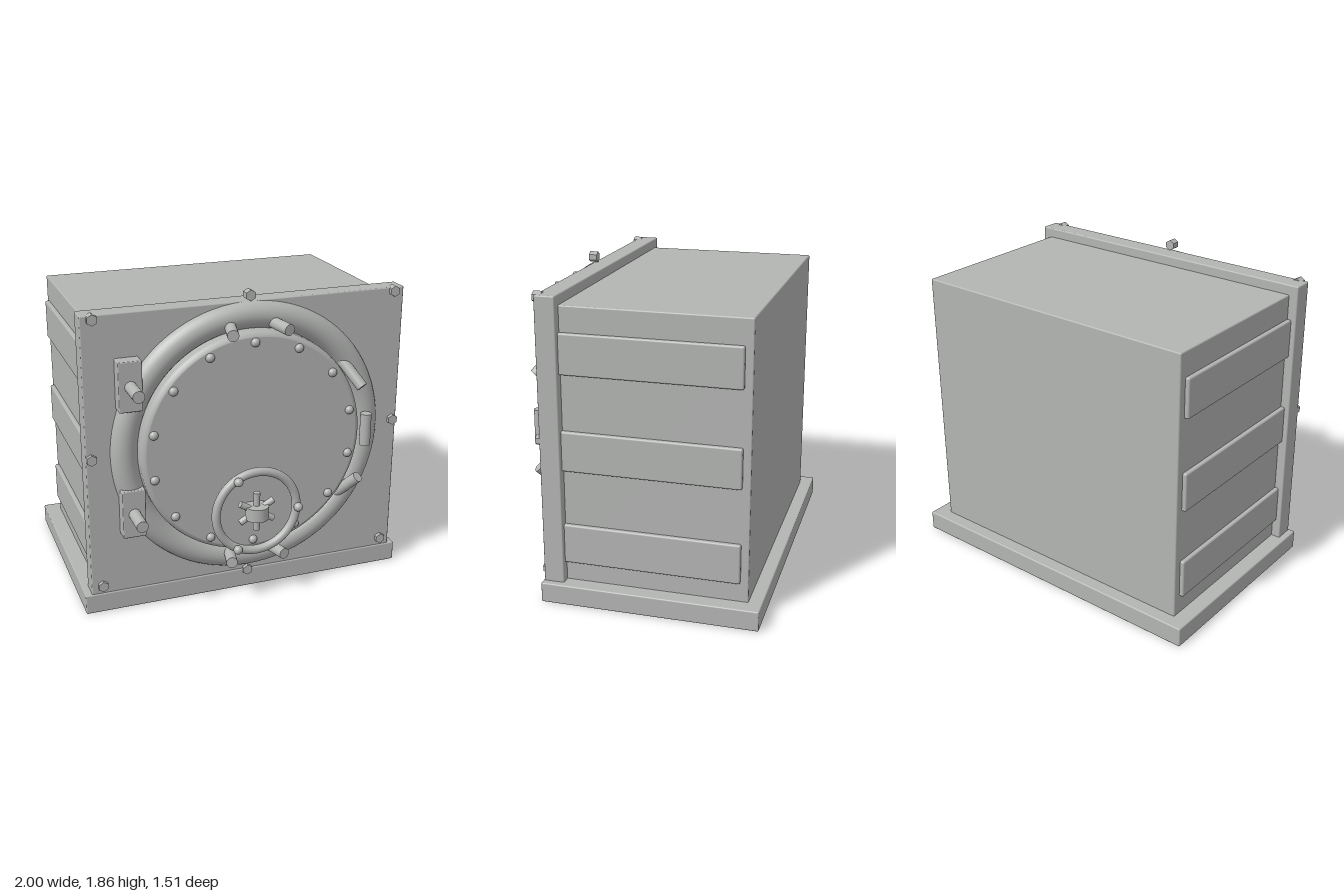
import * as THREE from 'three';
import { RoundedBoxGeometry } from 'three/addons/geometries/RoundedBoxGeometry.js';

const metal = new THREE.MeshStandardMaterial({ color: 0xb3b5b3 });
metal.name = 'grey metal';

export function createModel() {
  const group = new THREE.Group();
  const add = (name, geometry, x = 0, y = 0, z = 0) => {
    const mesh = new THREE.Mesh(geometry, metal);
    mesh.name = name;
    mesh.position.set(x, y, z);
    group.add(mesh);
    return mesh;
  };
  // Softly edged box given by its lower and upper corners
  const box = (name, [x0, y0, z0], [x1, y1, z1], r = 0.008) =>
    add(name, new RoundedBoxGeometry(x1 - x0, y1 - y0, z1 - z0, 2, r),
      (x0 + x1) / 2, (y0 + y1) / 2, (z0 + z1) / 2);
  // Round bar between two points
  const bar = (name, a, b, r) => {
    const p = new THREE.Vector3(...a), q = new THREE.Vector3(...b);
    const d = q.clone().sub(p);
    const mesh = add(name, new THREE.CylinderGeometry(r, r, d.length(), 24));
    mesh.position.copy(p).add(q).multiplyScalar(0.5);
    mesh.quaternion.setFromUnitVectors(new THREE.Vector3(0, 1, 0), d.normalize());
    return mesh;
  };

  // Cabinet
  box('base', [-1, 0, -0.755], [1, 0.12, 0.518]);
  box('body', [-0.905, 0.1, -0.676], [0.905, 1.737, 0.4]);
  box('frontPlate', [-0.96, 0.11, 0.391], [0.96, 1.796, 0.51]);
  for (const side of [-1, 1]) {
    for (const y of [0.352, 0.912, 1.472]) {
      const x0 = side > 0 ? 0.88 : -0.93;
      box('sideRib', [x0, y - 0.117, -0.63], [x0 + 0.05, y + 0.117, 0.4], 0.01);
    }
  }

  // Hexagonal bolts around the front plate
  const hex = new THREE.CylinderGeometry(0.032, 0.032, 0.05, 6).toNonIndexed();
  hex.rotateX(Math.PI / 2);
  hex.computeVertexNormals();
  const plateBolts = [[0, 1.83], [0, 0.115]];
  for (const s of [-1, 1]) plateBolts.push([s * 0.895, 1.775], [s * 0.93, 0.973], [s * 0.895, 0.17]);
  for (const [x, y] of plateBolts) add('plateBolt', hex, x, y, 0.508);

  // Round door and its thick rim
  const cy = 0.973;
  add('doorRim', new THREE.TorusGeometry(0.743, 0.08, 28, 96), 0, cy, 0.495);
  // Flat face, narrow rolled edge and straight wall; doubled points keep creases
  const doorProfile = [[0.668, 0.48], [0.668, 0.575], [0.668, 0.576], [0.663, 0.592],
    [0.65, 0.604], [0.64, 0.608], [0.639, 0.608], [0, 0.608]];
  const door = new THREE.LatheGeometry(doorProfile.map(p => new THREE.Vector2(...p)), 96);
  door.rotateX(Math.PI / 2);
  add('door', door, 0, cy, 0);
  const rivet = new THREE.SphereGeometry(0.027, 20, 14);
  for (let i = 0; i < 14; i++) {
    const a = (i / 14) * Math.PI * 2;
    add('doorRivet', rivet, 0.61 * Math.sin(a), cy + 0.61 * Math.cos(a), 0.605);
  }

  // Hinges with projecting pins
  for (const y of [0.638, 1.4]) {
    box('hingeBlock', [-0.78, y - 0.145, 0.45], [-0.645, y + 0.145, 0.592], 0.006);
    bar('hingePin', [-0.712, y, 0.52], [-0.712, y, 0.757], 0.034);
  }

  // Clamping dogs on the rim
  bar('clamp', [0.708, cy - 0.098, 0.605], [0.708, cy + 0.098, 0.605], 0.033);
  for (const s of [-1, 1]) {
    bar('clamp', [0.57, cy + s * 0.42, 0.535], [0.65, cy + s * 0.285, 0.65], 0.033);
    for (const m of [-1, 1]) {
      bar('clamp', [m * 0.12, cy + s * 0.7, 0.515], [m * 0.165, cy + s * 0.69, 0.7], 0.033);
    }
  }

  // Handwheel with hub, spokes and grips
  const wy = 0.573, wz = 0.66;
  add('handwheelRing', new THREE.TorusGeometry(0.25, 0.026, 18, 64), 0, wy, wz);
  add('handwheelHub', new THREE.CylinderGeometry(0.07, 0.07, 0.08, 32), 0, wy, 0.667);
  for (let i = 0; i < 3; i++) {
    const a = (i * Math.PI) / 3;
    const dx = 0.119 * Math.sin(a), dy = 0.119 * Math.cos(a);
    bar('handwheelSpoke', [-dx, wy - dy, wz], [dx, wy + dy, wz], 0.02);
    const g = (i * Math.PI * 2) / 3;
    add('handwheelGrip', rivet, 0.25 * Math.cos(g), wy + 0.25 * Math.sin(g), 0.692);
  }

  return group;
}
